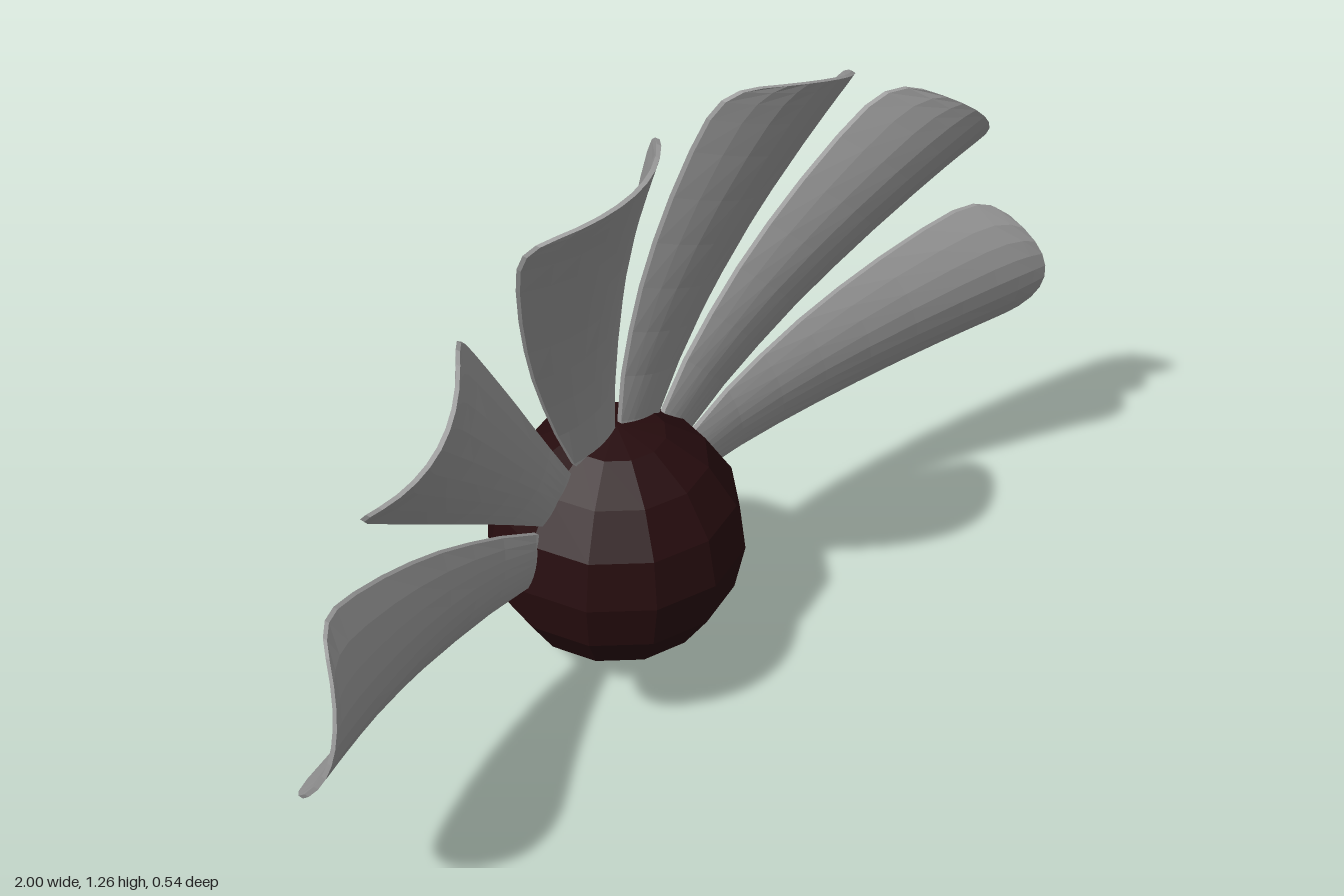
import * as THREE from 'three';

const grey = new THREE.MeshStandardMaterial({ color: 0x969696, flatShading: true });
grey.name = 'petal grey';
const maroon = new THREE.MeshStandardMaterial({ color: 0x260c0e, flatShading: true });
maroon.name = 'dark maroon';

// Petal outline: distance from the ball's centre, half width
const outline = [
  [0.2, 0.046], [0.25, 0.058], [0.35, 0.08], [0.45, 0.1], [0.55, 0.119], [0.65, 0.135], [0.75, 0.149],
  [0.85, 0.161], [0.92, 0.167], [0.96, 0.164], [0.985, 0.151], [0.998, 0.13],
];

// A thin slab bent forward along its length and arched across its width
function petalGeometry() {
  const rows = outline.length - 1;
  const geometry = new THREE.BoxGeometry(2, rows, 0.01, 8, rows, 1);
  const p = geometry.attributes.position;
  for (let i = 0; i < p.count; i++) {
    const s = p.getX(i);
    const row = Math.round(p.getY(i) + rows / 2);
    const [base, half] = outline[row];
    const r = base + 0.022 * (row / rows) ** 6 * (1 - s * s);
    const x = s * half;
    const t = Math.max(0, (r - 0.25) / 0.77);
    p.setXYZ(i, x, r, 0.27 * t ** 1.45 - 3 * x * x + p.getZ(i));
  }
  geometry.computeVertexNormals();
  return geometry;
}

export function createModel() {
  const model = new THREE.Group();
  model.name = 'petalFan';

  // Faceted ball
  const ball = new THREE.Mesh(new THREE.SphereGeometry(0.255, 12, 8), maroon);
  ball.name = 'centreBall';
  ball.position.set(0, 0.258, -0.012);
  model.add(ball);

  // Six petals fanned over the upper half
  const geometry = petalGeometry();
  [-75, -45, -15, 15, 45, 75].forEach((angle, i) => {
    const petal = new THREE.Mesh(geometry, grey);
    petal.name = `petal${i + 1}`;
    petal.position.y = 0.26;
    petal.rotation.z = THREE.MathUtils.degToRad(angle);
    model.add(petal);
  });
  return model;
}
